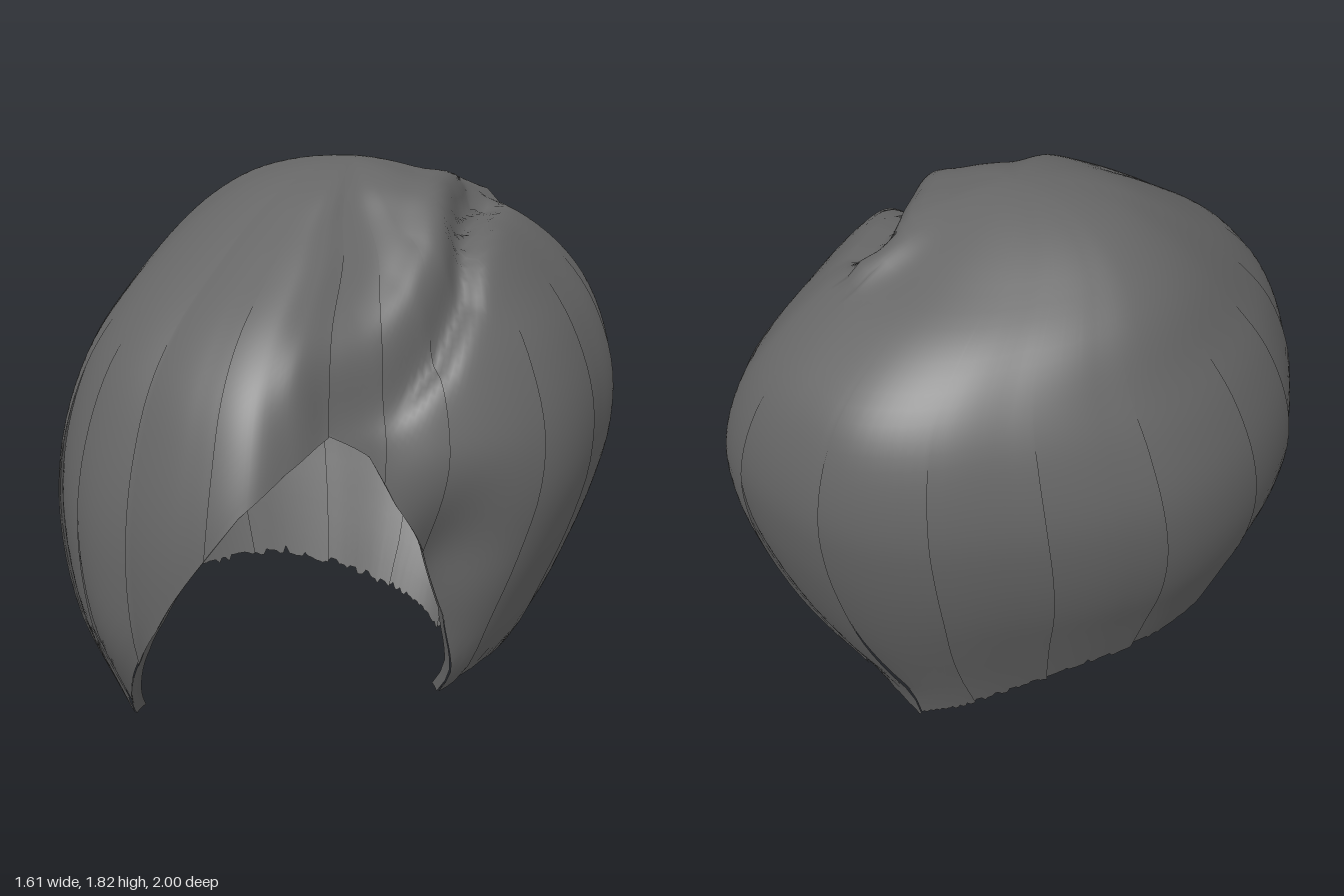
import * as THREE from 'three';

const TOP = 1.83;
const { smoothstep, degToRad } = THREE.MathUtils;

// Height, then left, right, front and back extent of the hair at that height
const SECTIONS = [
  [1.83, 0, 0, -0.08, -0.08], [1.78, -0.31, 0.23, 0.18, -0.3], [1.7, -0.46, 0.35, 0.33, -0.48],
  [1.6, -0.57, 0.48, 0.49, -0.69], [1.45, -0.66, 0.6, 0.7, -0.88], [1.3, -0.74, 0.7, 0.83, -0.96],
  [1.1, -0.8, 0.78, 0.92, -0.99], [0.9, -0.8, 0.8, 0.97, -0.96], [0.7, -0.75, 0.76, 0.98, -0.9],
  [0.5, -0.66, 0.69, 0.96, -0.82], [0.3, -0.57, 0.6, 0.88, -0.72], [0.15, -0.5, 0.48, 0.8, -0.64],
  [0, -0.44, 0.42, 0.7, -0.59],
].map(([y, ...e]) => [Math.sqrt(TOP - y), ...e]);

// Angle from the front in degrees, then radius of the unit outline seen from above
const OUTLINE = [
  [0, 1], [14, 1.03], [27, 1.05], [34, 0.99], [42, 0.9], [53, 0.85], [66, 0.89], [84, 0.97],
  [96, 1], [120, 1.01], [136, 1.07], [146, 1.1], [169, 1.03], [187, 1], [207, 0.95], [223, 0.92],
  [244, 0.95], [258, 0.99], [270, 1], [294, 0.99], [313, 0.98], [329, 1.01], [346, 1.02], [360, 1],
];

// Angle, then height of the lower edge; it rises to a peak at the face opening
const HEM = [
  [0, 0.48], [8, 0.61], [26, 1.0], [33, 1.1], [41, 1.18], [50, 1.1], [57, 0.95], [69, 0.75],
  [79, 0.52], [85, 0.3], [87, 0.2], [100, 0.27], [115, 0.26], [140, 0.19], [165, 0.1], [178, 0.02],
  [190, 0.09], [215, 0.2], [240, 0.3], [270, 0.32], [310, 0.31], [325, 0.24], [340, 0.17], [360, 0.48],
];

// Parting from the crown whorl down to the peak of the opening (x, z)
const PARTING = [[0.25, -0.45], [0.33, -0.28], [0.42, -0.12], [0.51, 0.03], [0.54, 0.2], [0.52, 0.4], [0.47, 0.6]];

// Smooth interpolation of one table column
function sample(table, key, col) {
  const n = table.length;
  let i = 0;
  while (i < n - 2 && key > table[i + 1][0]) i++;
  const slope = (k) => {
    const a = table[Math.max(0, k - 1)], b = table[Math.min(n - 1, k + 1)];
    return (b[col] - a[col]) / (b[0] - a[0]);
  };
  const p = table[i], q = table[i + 1], h = q[0] - p[0];
  const u = Math.min(1, Math.max(0, (key - p[0]) / h)), u2 = u * u, u3 = u2 * u;
  return (2 * u3 - 3 * u2 + 1) * p[col] + (u3 - 2 * u2 + u) * h * slope(i)
    + (3 * u2 - 2 * u3) * q[col] + (u3 - u2) * h * slope(i + 1);
}

function linear(table, key) {
  const i = table.findIndex((row, k) => k > 0 && key <= row[0]);
  const [a, b] = [table[i - 1], table[i]];
  return a[1] + (b[1] - a[1]) * (key - a[0]) / (b[0] - a[0]);
}

const wrap = (deg) => ((deg % 360) + 360) % 360;
const hash = (n) => { const v = Math.sin(n * 127.1) * 43758.5; return v - Math.floor(v); };
const bell = (v, width) => Math.exp(-((v / width) ** 2));

// Distance to the parting, positive on the fringe side
function partingDistance(x, z) {
  let best = 9;
  for (let i = 0; i < PARTING.length - 1; i++) {
    const [ax, az] = PARTING[i], [bx, bz] = PARTING[i + 1];
    const dx = bx - ax, dz = bz - az;
    const t = Math.min(1, Math.max(0, ((x - ax) * dx + (z - az) * dz) / (dx * dx + dz * dz)));
    const d = Math.hypot(x - ax - t * dx, z - az - t * dz);
    const side = dx * (z - az) - dz * (x - ax) >= 0 ? 1 : -1;
    if (d < Math.abs(best)) best = d * side;
  }
  return best;
}

// Lower edge with ragged strand tips outside the opening
function hemHeight(deg) {
  const d = wrap(deg);
  const ragged = d > 89 && d < 338 ? 0.025 * (hash(Math.round(d / 1.5)) - 0.3) : 0;
  return Math.max(0, linear(HEM, d) + ragged);
}

// Point on the hair; s runs from crown (0) to lower edge (1)
function hairPoint(deg, s, lift = 0) {
  const t = s * Math.sqrt(TOP - hemHeight(deg));
  const y = TOP - t * t;
  const [l, r, f, b] = [1, 2, 3, 4].map((c) => sample(SECTIONS, t, c));
  const a = degToRad(deg);
  // The side curtain curls in towards the cheek along the opening
  const curl = 0.13 * bell(wrap(deg) - 72, 13) * (1 - smoothstep(y, 0.7, 1.1)) * smoothstep(y, 0.15, 0.5);
  const k = sample(OUTLINE, wrap(deg), 1) * (1 - curl);
  const ux = Math.sin(a) * k, uz = Math.cos(a) * k;
  const x = (l + r) / 2 + ux * ((r - l) / 2 + lift);
  const z = (f + b) / 2 + uz * ((f - b) / 2 + lift);
  // Crease at the parting, with the fringe swelling beside it
  const d = partingDistance(x, z);
  const swell = d > 0 ? 0.025 * bell(d - 0.1, 0.06) : 0;
  const crease = (0.06 * bell(d, 0.045) - swell) * smoothstep(y, 1.12, 1.35);
  return [x - ux * crease * 0.4, y - crease, z - uz * crease * 0.4];
}

// Grid surface from a point rule
function gridGeometry(cols, rows, rule) {
  const pos = [], index = [];
  for (let i = 0; i <= cols; i++) for (let j = 0; j <= rows; j++) pos.push(...rule(i / cols, j / rows));
  for (let i = 0; i < cols; i++) {
    for (let j = 0; j < rows; j++) {
      const a = i * (rows + 1) + j, b = a + rows + 1;
      index.push(a, a + 1, b, b, a + 1, b + 1);
    }
  }
  const g = new THREE.BufferGeometry();
  g.setAttribute('position', new THREE.Float32BufferAttribute(pos, 3));
  g.setIndex(index);
  g.computeVertexNormals();
  return g;
}

export function createModel() {
  const model = new THREE.Group();
  model.name = 'bobHair';
  const hair = new THREE.MeshStandardMaterial({ color: 0x666666, side: THREE.DoubleSide });
  hair.name = 'charcoal hair';

  const add = (name, geometry) => {
    const mesh = new THREE.Mesh(geometry, hair);
    mesh.name = name;
    model.add(mesh);
  };

  // Overlapping locks around the head, each tucked under the one before
  const edges = [41, 54, 68, 90, 112, 134, 156, 180, 204, 228, 252, 276, 296, 316, 332, 345, 360, 380, 401];
  const rows = 44;
  for (let n = 0; n < edges.length - 1; n++) {
    const start = edges[n] - (n ? 2 : 0), end = edges[n + 1];
    const cols = Math.round(end - start);
    const g = gridGeometry(cols, rows, (u, s) => {
      const layer = smoothstep(s, 0.4, 0.8) * (-0.006 + 0.014 * u);
      return hairPoint(start + (end - start) * u, s, layer);
    });
    for (let i = 0; i <= cols; i++) g.attributes.normal.setXYZ(i * (rows + 1), 0, 1, 0);
    const kind = end <= 90 ? 'sideCurtainLock' : end <= 228 ? 'backLock' : end <= 316 ? 'leftSideLock' : 'fringeLock';
    add(kind + (n + 1), g);
  }

  // Inner layer that thickens the fringe
  add('fringeInnerLayer', gridGeometry(60, 20, (u, v) => hairPoint(-57 + 96 * u, 0.55 + 0.43 * v, -0.035)));

  // Edges of the opening rolled inward to give the hair some thickness
  const roll = (name, from, to) => add(name, gridGeometry(40, 4, (u, v) => {
    const [x, y, z] = hairPoint(from + (to - from) * u, 1);
    const inward = 1 - 0.045 * v;
    return [x * inward, y + 0.02 * Math.sin(v * Math.PI / 2), z * inward];
  }));
  roll('fringeEdgeRoll', -20, 41);
  roll('sideCurtainEdgeRoll', 41, 87);

  return model;
}
